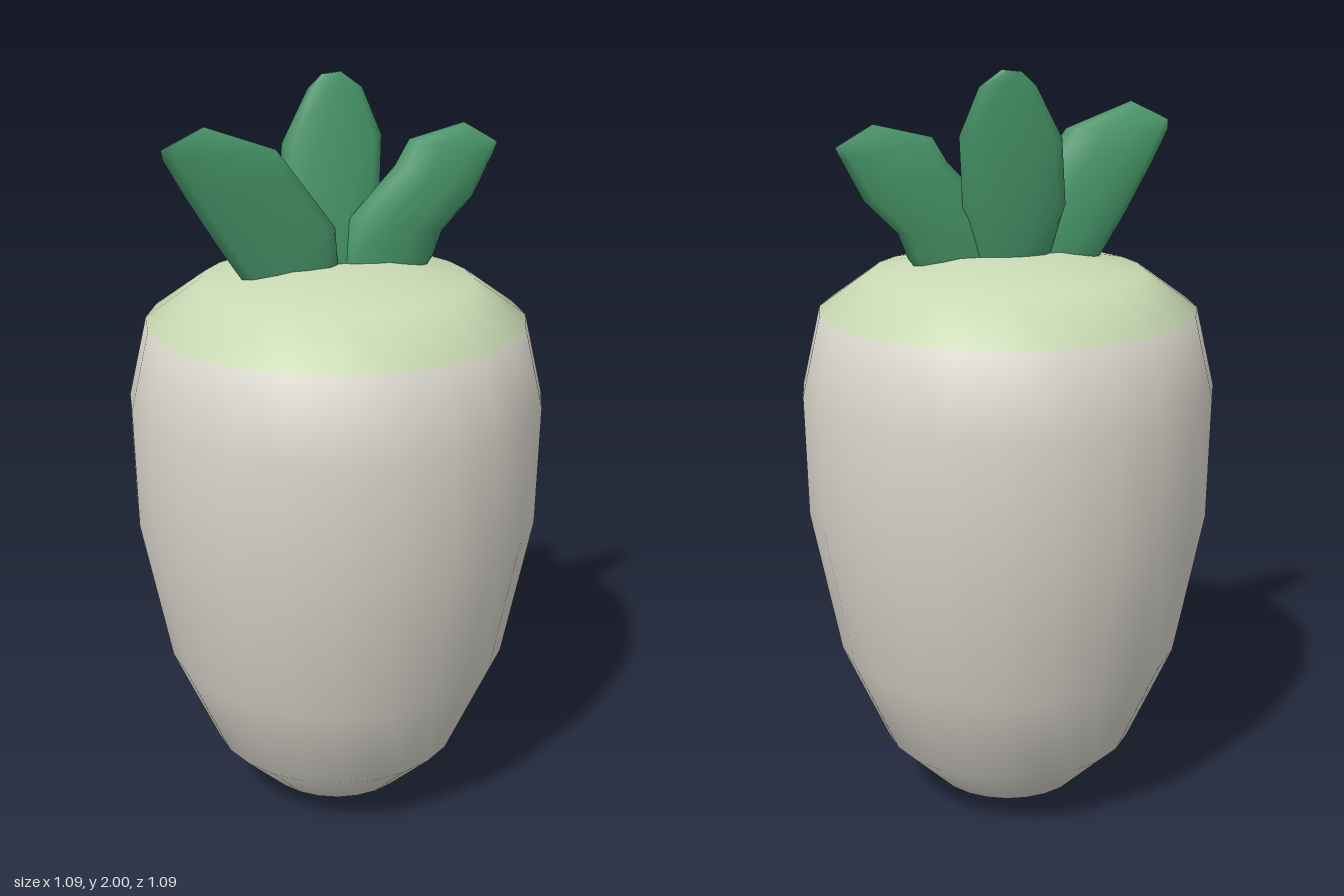
import * as THREE from 'three';

const rootMat = new THREE.MeshStandardMaterial({ name: 'pale root', color: 0xd6d3c9 });
const crownMat = new THREE.MeshStandardMaterial({ name: 'light green crown', color: 0xcadab4 });
const leafMat = new THREE.MeshStandardMaterial({ name: 'leaf green', color: 0x469468 });

// Root: one smooth lathe, its upper bands coloured as the crown
function makeRoot() {
  const profile = [
    [0, 0], [0.07, 0.005], [0.21, 0.055], [0.345, 0.19], [0.465, 0.465], [0.54, 0.86],
    [0.545, 1.18], [0.495, 1.39], [0.355, 1.49], [0.14, 1.53], [0, 1.53],
  ].map(([r, y]) => new THREE.Vector2(r, y));
  const segments = 24, bands = profile.length - 1, crownStart = 7;
  const geo = new THREE.LatheGeometry(profile, segments);
  for (let i = 0; i < segments; i++) {
    const first = i * bands * 6;
    geo.addGroup(first, crownStart * 6, 0);
    geo.addGroup(first + crownStart * 6, (bands - crownStart) * 6, 1);
  }
  const mesh = new THREE.Mesh(geo, [rootMat, crownMat]);
  mesh.name = 'root';
  return mesh;
}

// Leaf: lens-shaped loops; each row is [x1, y1, x2, y2, z, half thickness], from base to tip
function makeLeaf(name, rows) {
  const sides = 10, pos = [], index = [];
  for (const [x1, y1, x2, y2, z, t] of rows) {
    for (let k = 0; k < sides; k++) {
      const a = (k / sides) * Math.PI * 2, s = (1 - Math.cos(a)) / 2;
      pos.push(x1 + (x2 - x1) * s, y1 + (y2 - y1) * s, z + t * Math.sin(a));
    }
  }
  for (let r = 0; r < rows.length - 1; r++) {
    for (let k = 0; k < sides; k++) {
      const a = r * sides + k, b = r * sides + (k + 1) % sides;
      index.push(a, b, b + sides, a, b + sides, a + sides);
    }
  }
  // close both ends
  const top = (rows.length - 1) * sides;
  for (let k = 1; k < sides - 1; k++) {
    index.push(0, k + 1, k, top, top + k, top + k + 1);
  }
  const geo = new THREE.BufferGeometry();
  geo.setAttribute('position', new THREE.Float32BufferAttribute(pos, 3));
  geo.setIndex(index);
  geo.computeVertexNormals();
  const mesh = new THREE.Mesh(geo, leafMat);
  mesh.name = name;
  return mesh;
}

export function createModel() {
  const group = new THREE.Group();
  group.name = 'radish';
  group.add(makeRoot());
  group.add(makeLeaf('rightLeaf', [
    [-0.2, 1.44, -0.02, 1.46, 0.01, 0.03],
    [-0.26, 1.52, 0, 1.53, 0.015, 0.038],
    [-0.32, 1.61, -0.01, 1.63, 0.025, 0.042],
    [-0.4, 1.74, -0.12, 1.775, 0.045, 0.038],
    [-0.45, 1.83, -0.17, 1.84, 0.058, 0.03],
    [-0.455, 1.855, -0.35, 1.905, 0.072, 0.006],
  ]));
  group.add(makeLeaf('leftLeaf', [
    [0.02, 1.46, 0.2, 1.44, 0, 0.03],
    [0.01, 1.53, 0.265, 1.53, -0.005, 0.038],
    [0.04, 1.645, 0.29, 1.595, -0.008, 0.046],
    [0.16, 1.77, 0.375, 1.68, -0.015, 0.042],
    [0.2, 1.835, 0.43, 1.785, -0.02, 0.03],
    [0.35, 1.87, 0.445, 1.815, -0.028, 0.006],
  ]));
  group.add(makeLeaf('backLeaf', [
    [-0.08, 1.46, 0.07, 1.46, -0.015, 0.028],
    [-0.11, 1.54, 0.1, 1.54, -0.025, 0.035],
    [-0.14, 1.66, 0.13, 1.66, -0.047, 0.038],
    [-0.122, 1.83, 0.143, 1.84, -0.073, 0.03],
    [-0.05, 1.96, 0.095, 1.96, -0.088, 0.015],
    [-0.01, 1.995, 0.04, 2, -0.095, 0.006],
  ]));
  return group;
}
